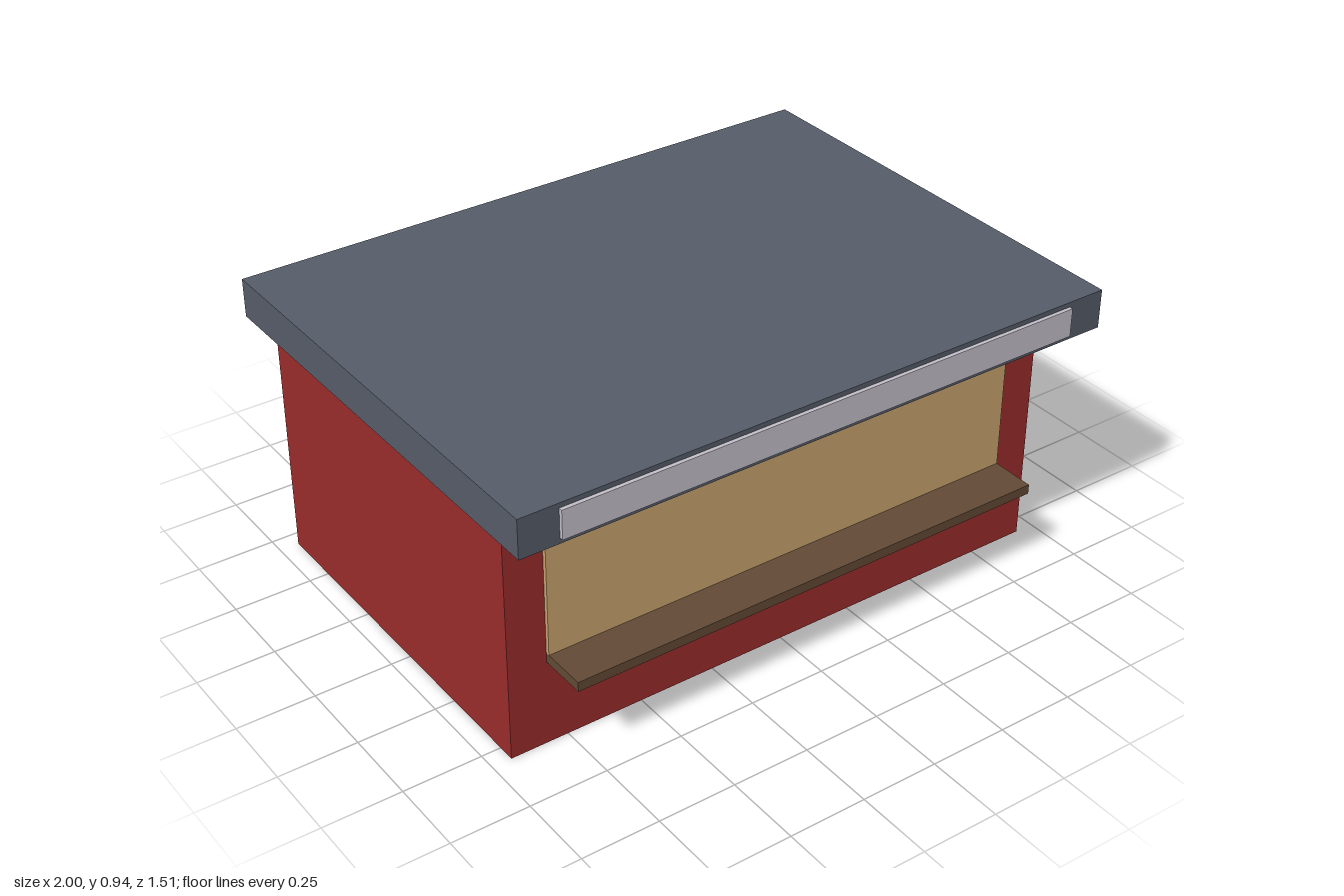
import * as THREE from 'three';

const material = (name, color) => {
  const m = new THREE.MeshStandardMaterial({ color });
  m.name = name;
  return m;
};

export function createModel() {
  const group = new THREE.Group();
  group.name = 'kiosk';

  const red = material('barn red', 0x9b2c2c);
  const slate = material('slate grey', 0x565d69);
  const tan = material('tan', 0xc9a46e);
  const brown = material('dark brown', 0x634a35);
  const pale = material('pale lilac grey', 0xc5c0ca);

  // Box centred on x, given its width and its y and z limits
  const addBox = (name, mat, width, [y0, y1], [z0, z1]) => {
    const mesh = new THREE.Mesh(new THREE.BoxGeometry(width, y1 - y0, z1 - z0), mat);
    mesh.position.set(0, (y0 + y1) / 2, (z0 + z1) / 2);
    mesh.name = name;
    group.add(mesh);
  };

  addBox('body', red, 1.875, [0, 0.8125], [-0.694, 0.556]);
  addBox('roof', slate, 2, [0.8125, 0.9375], [-0.756, 0.744]);
  // Serving hatch with its counter shelf
  addBox('hatch', tan, 1.625, [0.3125, 0.6875], [0.556, 0.569]);
  addBox('counter', brown, 1.625, [0.281, 0.3125], [0.556, 0.7125]);
  // Blank board on the front edge of the roof
  addBox('signBoard', pale, 1.75, [0.83, 0.922], [0.744, 0.756]);

  return group;
}
